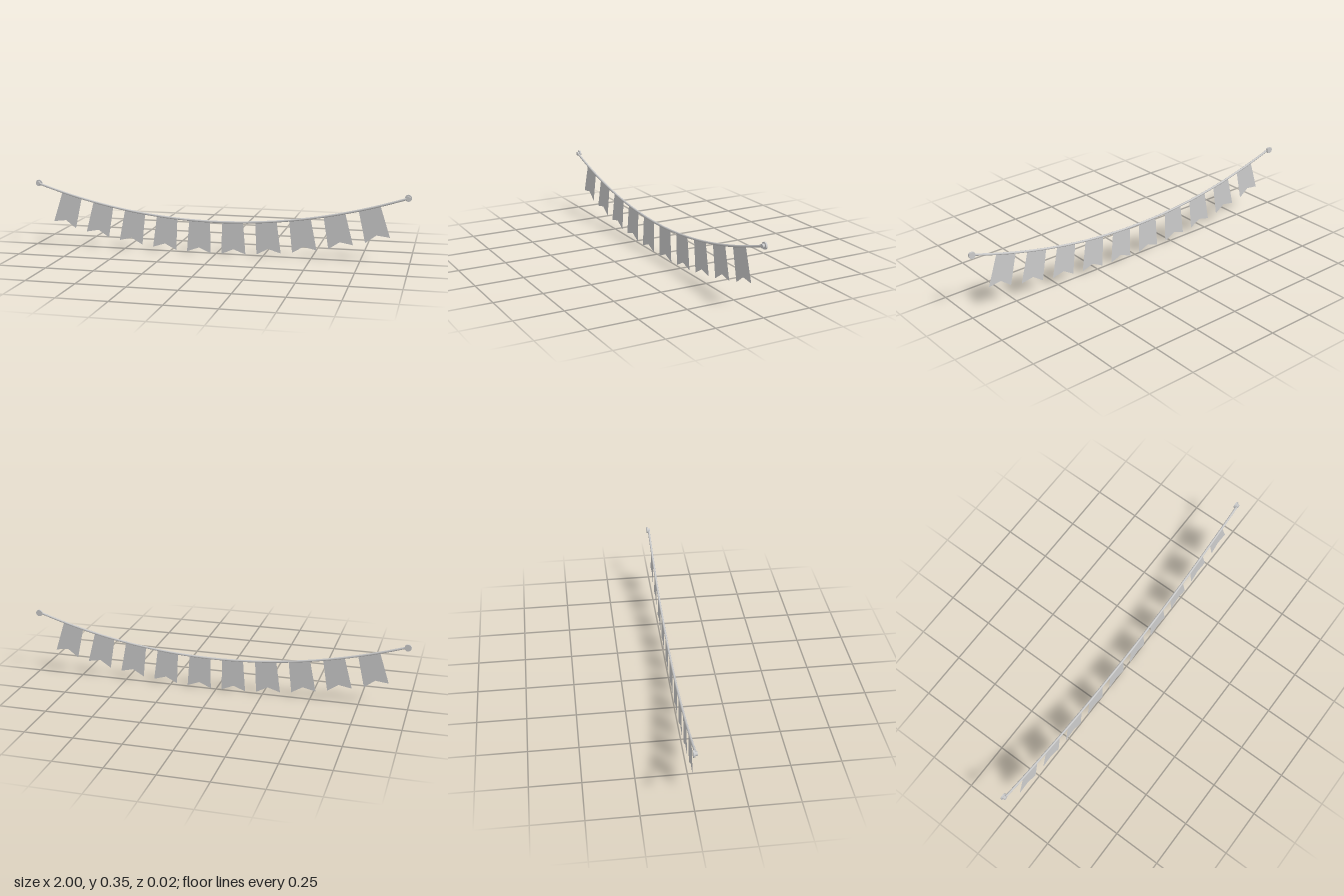
import * as THREE from 'three';

const SPAN = 0.982, LOW = 0.17, SAG = 0.165, ROPE_Z = 0.003;
const ropeY = (x) => LOW + SAG * (x / SPAN) ** 2;
const ropeSlope = (x) => (2 * SAG * x) / SPAN ** 2;

export function createModel() {
  const model = new THREE.Group();
  const material = new THREE.MeshStandardMaterial({ color: 0xcccccc });
  const clothMaterial = new THREE.MeshStandardMaterial({ color: 0xcccccc, side: THREE.DoubleSide });

  const add = (name, geometry, mat, parent = model) => {
    const mesh = new THREE.Mesh(geometry, mat);
    mesh.name = name;
    parent.add(mesh);
    return mesh;
  };

  // Sagging rope: a parabola between the two wall pegs
  const points = [];
  for (let i = 0; i <= 32; i++) {
    const x = -SPAN + (2 * SPAN * i) / 32;
    points.push(new THREE.Vector3(x, ropeY(x), ROPE_Z));
  }
  const ropeCurve = new THREE.CatmullRomCurve3(points);
  add('rope', new THREE.TubeGeometry(ropeCurve, 48, 0.006, 8), material);

  // Wall pegs: a wide back plate with a narrower stub in front
  const disc = (radius, depth) => new THREE.CylinderGeometry(radius, radius, depth, 20).rotateX(Math.PI / 2);
  const plateGeometry = disc(0.0175, 0.008);
  const stubGeometry = disc(0.0105, 0.012);
  for (const side of [-1, 1]) {
    const peg = new THREE.Group();
    peg.name = side > 0 ? 'leftPeg' : 'rightPeg';
    peg.position.set(side * SPAN, ropeY(SPAN), 0);
    add('backPlate', plateGeometry, material, peg).position.z = -0.006;
    add('stub', stubGeometry, material, peg).position.z = 0.004;
    model.add(peg);
  }

  // Swallowtail flags, hung square to the rope
  const shape = new THREE.Shape();
  shape.moveTo(-0.056, 0);
  shape.lineTo(-0.064, -0.169);
  shape.lineTo(0, -0.143);
  shape.lineTo(0.064, -0.169);
  shape.lineTo(0.056, 0);
  shape.closePath();
  const flagGeometry = new THREE.ShapeGeometry(shape);
  for (let i = 0; i < 10; i++) {
    const x = (i - 4.5) * 0.176;
    const flag = add(`flag${i + 1}`, flagGeometry, clothMaterial);
    flag.position.set(x, ropeY(x), ROPE_Z);
    flag.rotation.z = Math.atan(ropeSlope(x));
  }

  return model;
}
